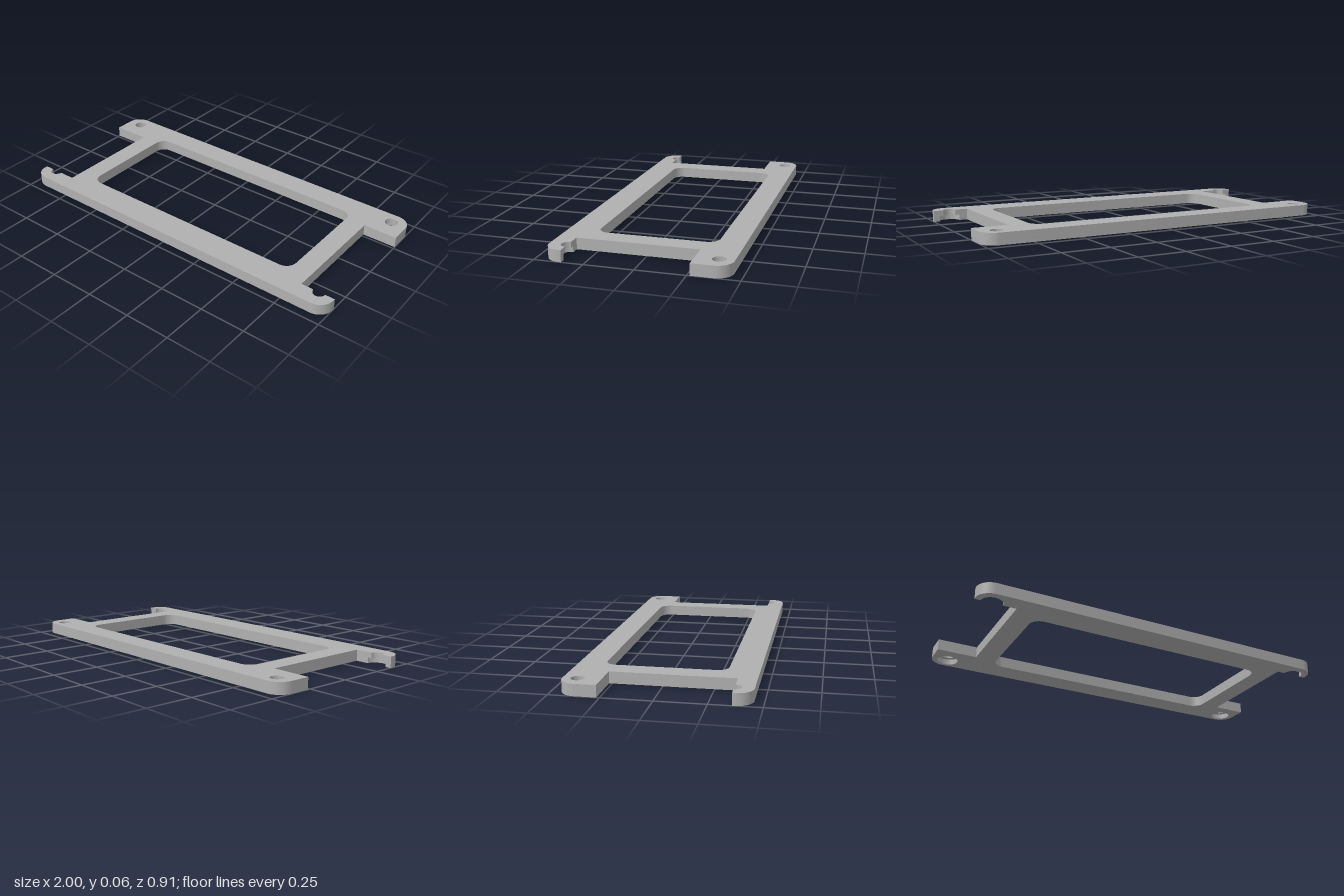
import * as THREE from 'three';
import { toCreasedNormals } from 'three/addons/utils/BufferGeometryUtils.js';

const HALF_DEPTH = 0.453, CORNER = 0.08, HEIGHT = 0.06, BORE_DEPTH = 0.03;
const HOLE_X = 0.913, HOLE_Z = -0.38;   // screw positions
const FRONT_EDGE = 0.36, BACK_EDGE = -0.265; // inner edges of the corner tabs
const LEFT_WALL = 0.813, RIGHT_WALL = -0.785; // side rails' outer faces

// Frame outline with screw openings of radius r (shape y is -z)
function frameShape(r) {
  const s = new THREE.Shape();
  const D = HALF_DEPTH, R = CORNER, q = Math.PI / 2;
  s.moveTo(-1 + R, -D);
  s.lineTo(1 - R, -D);
  s.absarc(1 - R, -D + R, R, -q, 0, false);
  s.lineTo(1, -FRONT_EDGE);
  s.lineTo(HOLE_X + r, -FRONT_EDGE);
  s.absarc(HOLE_X, -FRONT_EDGE, r, 0, -Math.PI, true);
  s.lineTo(LEFT_WALL, -FRONT_EDGE);
  s.lineTo(LEFT_WALL, -BACK_EDGE);
  s.lineTo(1, -BACK_EDGE);
  s.lineTo(1, D - R);
  s.absarc(1 - R, D - R, R, 0, q, false);
  s.lineTo(-1 + R, D);
  s.absarc(-1 + R, D - R, R, q, 2 * q, false);
  s.lineTo(-1, -BACK_EDGE);
  s.lineTo(RIGHT_WALL, -BACK_EDGE);
  s.lineTo(RIGHT_WALL, -FRONT_EDGE);
  s.lineTo(-HOLE_X + r, -FRONT_EDGE);
  s.absarc(-HOLE_X, -FRONT_EDGE, r, 0, -Math.PI, true);
  s.lineTo(-1, -FRONT_EDGE);
  s.lineTo(-1, -D + R);
  s.absarc(-1 + R, -D + R, R, 2 * q, 3 * q, false);

  // Rounded central window
  const x0 = -0.671, x1 = 0.702, y0 = -0.298, y1 = 0.32, c = 0.06;
  const win = new THREE.Path();
  win.moveTo(x0 + c, y0);
  win.lineTo(x1 - c, y0);
  win.absarc(x1 - c, y0 + c, c, -q, 0, false);
  win.lineTo(x1, y1 - c);
  win.absarc(x1 - c, y1 - c, c, 0, q, false);
  win.lineTo(x0 + c, y1);
  win.absarc(x0 + c, y1 - c, c, q, 2 * q, false);
  win.lineTo(x0, y0 + c);
  win.absarc(x0 + c, y0 + c, c, 2 * q, 3 * q, false);
  s.holes.push(win);

  // Full screw holes in the back tabs
  for (const side of [-1, 1]) {
    const hole = new THREE.Path();
    hole.absarc(side * HOLE_X, -HOLE_Z, r, 0, Math.PI * 2, true);
    s.holes.push(hole);
  }
  return s;
}

export function createModel() {
  const model = new THREE.Group();
  model.name = 'mountingFrame';
  const grey = new THREE.MeshStandardMaterial({ color: 0xb0b0b0 });
  grey.name = 'grey';

  const addLayer = (name, radius, y0, y1) => {
    const geo = new THREE.ExtrudeGeometry(frameShape(radius), {
      depth: y1 - y0, bevelEnabled: false, curveSegments: 16,
    });
    geo.rotateX(-Math.PI / 2);
    geo.translate(0, y0, 0);
    const mesh = new THREE.Mesh(toCreasedNormals(geo, 0.6), grey);
    mesh.name = name;
    model.add(mesh);
  };

  // Wide counterbores open downwards, narrow screw holes above them
  addLayer('counterboredLowerPlate', 0.056, 0, BORE_DEPTH);
  addLayer('upperPlate', 0.034, BORE_DEPTH, HEIGHT);
  return model;
}
